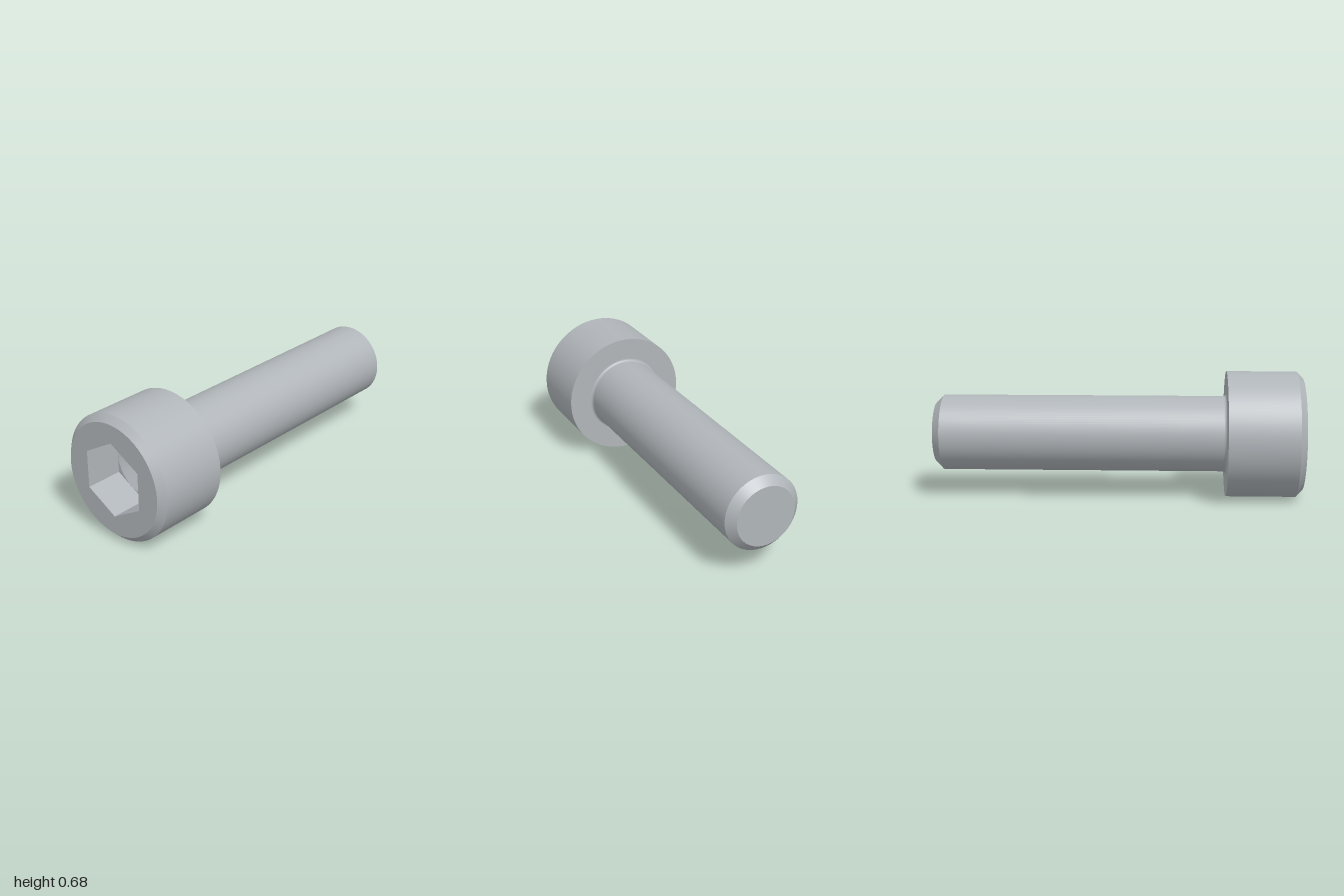
import * as THREE from 'three';

const SEG = 96;
const AXIS_Y = 0.342;   // height of the screw's axis
const HEAD_R = 0.342, FACE_R = 0.307, SHANK_R = 0.206, TIP_R = 0.163;
const HEAD_BACK = 0.588, FILLET = 0.015;
const HEX_R = 0.206, DRILL_R = 0.177, SOCKET_Z = 0.795;

// Points of a regular polygon, with a corner straight up
const ring = (r, n) => Array.from({ length: n }, (_, i) => {
  const a = Math.PI / 2 + (i / n) * Math.PI * 2;
  return new THREE.Vector2(r * Math.cos(a), r * Math.sin(a));
});

// Surface of revolution about z; profile pairs are [radius, z]
function turned(profile, segments = SEG) {
  const points = profile.map(([r, z]) => new THREE.Vector2(r, z));
  return new THREE.LatheGeometry(points, segments).rotateX(Math.PI / 2);
}

// Flat face towards +z with a hole in it
function flatRing(outer, hole, z) {
  const shape = new THREE.Shape(outer);
  shape.holes.push(new THREE.Path(hole));
  return new THREE.ShapeGeometry(shape).translate(0, 0, z);
}

export function createModel() {
  const model = new THREE.Group();
  model.name = 'socketHeadScrew';
  const steel = new THREE.MeshStandardMaterial({ color: 0xb0b5b9 });
  steel.name = 'steel';

  const add = (name, geometry) => {
    const mesh = new THREE.Mesh(geometry, steel);
    mesh.name = name;
    mesh.position.y = AXIS_Y;
    model.add(mesh);
  };

  // Shank with chamfered tip
  add('tipFace', turned([[0, -1], [TIP_R, -1]]));
  add('tipChamfer', turned([[TIP_R, -1], [SHANK_R, -0.957]]));
  add('shank', turned([[SHANK_R, -0.957], [SHANK_R, HEAD_BACK - FILLET]]));

  // Small rounded fillet under the head
  const fillet = [];
  for (let i = 0; i <= 6; i++) {
    const a = (i / 6) * Math.PI / 2;
    fillet.push([SHANK_R + FILLET * (1 - Math.cos(a)), HEAD_BACK - FILLET * (1 - Math.sin(a))]);
  }
  add('fillet', turned(fillet));

  // Head
  add('headUnderside', turned([[SHANK_R + FILLET, HEAD_BACK], [HEAD_R, HEAD_BACK]]));
  add('headSide', turned([[HEAD_R, HEAD_BACK], [HEAD_R, 0.965]]));
  add('headChamfer', turned([[HEAD_R, 0.965], [FACE_R, 1]]));
  add('headFace', flatRing(ring(FACE_R, SEG), ring(HEX_R, 6), 1));

  // Hexagonal socket with a conical drilled bottom
  const walls = turned([[HEX_R, 1], [HEX_R, SOCKET_Z]], 6).toNonIndexed();
  walls.computeVertexNormals();
  add('socketWalls', walls);
  add('socketFloor', flatRing(ring(HEX_R, 6), ring(DRILL_R, SEG), SOCKET_Z));
  add('drillCone', turned([[DRILL_R, SOCKET_Z], [0, SOCKET_Z - 0.103]]));

  return model;
}
